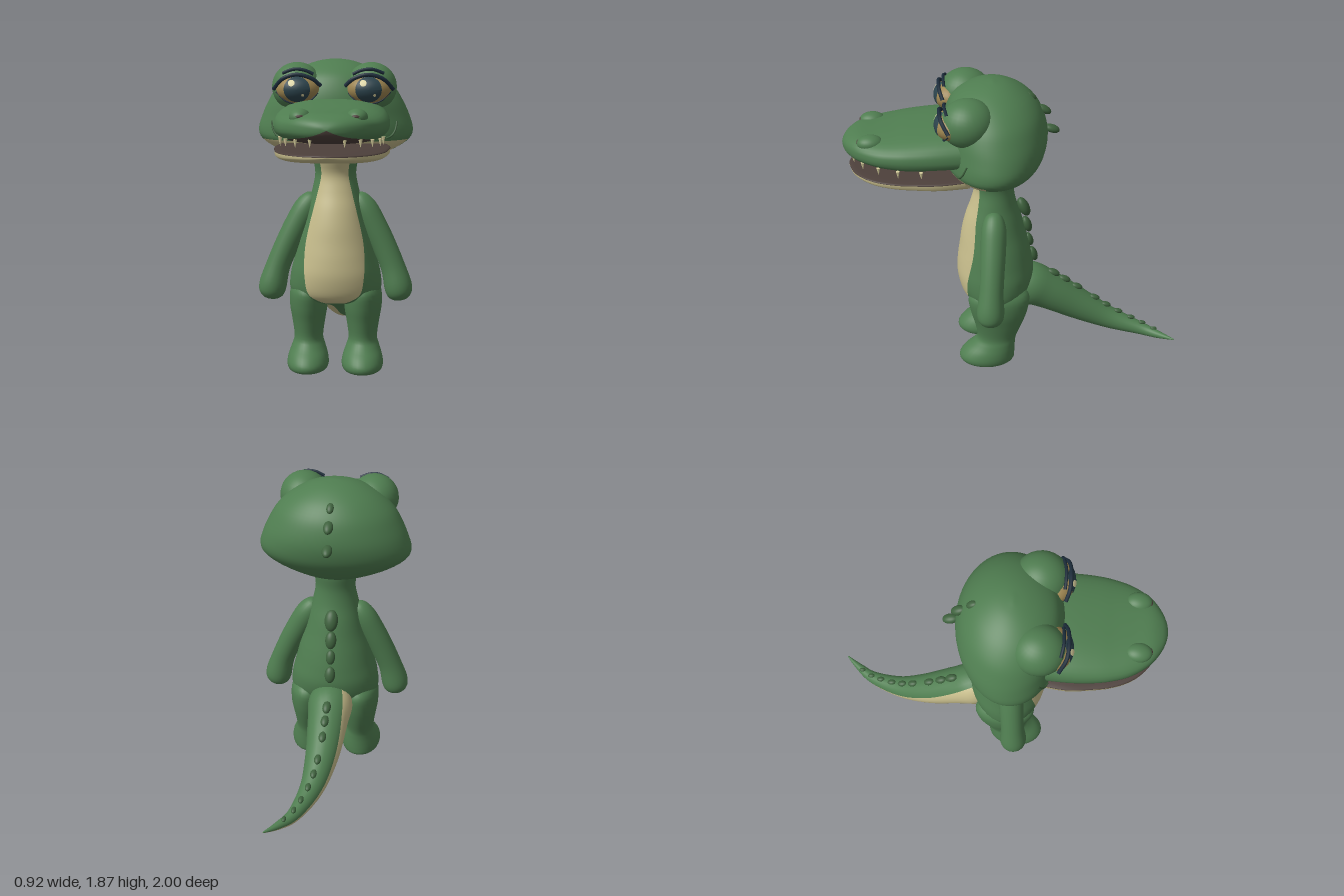
import * as THREE from 'three';

const mat = (name, color) => Object.assign(new THREE.MeshStandardMaterial({ color }), { name });

// Catmull-Rom subdivision of rows of numbers; every k-th result is an input row
function refine(rows, k) {
  const out = [], at = i => rows[Math.min(rows.length - 1, Math.max(0, i))];
  for (let i = 0; i < rows.length - 1; i++) {
    for (let s = 0; s < k; s++) {
      const t = s / k;
      out.push(at(i).map((b, q) => {
        const a = at(i - 1)[q], c = at(i + 1)[q], d = at(i + 2)[q];
        return 0.5 * (2 * b + (c - a) * t + (2 * a - 5 * b + 4 * c - d) * t * t + (3 * b - a - 3 * c + d) * t * t * t);
      }));
    }
  }
  out.push(rows[rows.length - 1]);
  return out;
}

// Skin closed rings with capped ends; pick(row, column) chooses the material index
function loft(name, rings, mats, pick = () => 0) {
  const n = rings[0].length, m = rings.length;
  const pts = rings.flat();
  const mid = r => r.reduce((s, p) => s.add(p), new THREE.Vector3()).divideScalar(n);
  pts.push(mid(rings[0]), mid(rings[m - 1]));
  const tris = mats.map(() => []);
  for (let i = 0; i < m - 1; i++) {
    for (let j = 0; j < n; j++) {
      const a = i * n + j, b = i * n + (j + 1) % n;
      tris[pick(i, j)].push([a, b, a + n], [b, b + n, a + n]);
    }
  }
  for (let j = 0; j < n; j++) {
    const b = (j + 1) % n, e = (m - 1) * n;
    tris[pick(0, j)].push([m * n, b, j]);
    tris[pick(m - 2, j)].push([m * n + 1, e + j, e + b]);
  }
  // turn the faces outward
  const c = mid(rings[m >> 1]);
  const volume = tris.flat().reduce((s, t) => {
    const [p, q, r] = t.map(k => pts[k].clone().sub(c));
    return s + p.dot(q.cross(r));
  }, 0);
  if (volume < 0) tris.flat().forEach(t => t.reverse());
  const geo = new THREE.BufferGeometry().setFromPoints(pts);
  geo.setIndex(tris.flat(2));
  let start = 0;
  tris.forEach((t, k) => { geo.addGroup(start, t.length * 3, k); start += t.length * 3; });
  geo.computeVertexNormals();
  const mesh = new THREE.Mesh(geo, mats);
  mesh.name = name;
  return mesh;
}

// Horizontal oval ring from [y, halfWidth, backZ, frontZ]; angle 0 is the front
const ovalRing = ([y, rx, zb, zf], angles, x0 = 0) => angles.map(a =>
  new THREE.Vector3(x0 + rx * Math.sin(a), y, (zb + zf) / 2 + (zf - zb) / 2 * Math.cos(a)));
const around = n => Array.from({ length: n }, (_, j) => j / n * Math.PI * 2);

// Jaw ring from [z, halfWidth, widestY, topY, bottomY]
const jawRing = ([z, w, ym, yt, yb], e) => around(36).map(a => {
  const c = Math.cos(a), s = Math.sin(a);
  return new THREE.Vector3(w * Math.sign(c) * Math.abs(c) ** e,
    ym + (s > 0 ? yt - ym : yb - ym) * Math.abs(s) ** e, z);
});

// Round limb through rows [x, y, z, radius]; phase(t) twists the columns
function limb(name, rows, ref, mats, pick, phase = () => 0) {
  const pos = rows.map(r => new THREE.Vector3(...r)), last = rows.length - 1;
  return loft(name, rows.map((r, i) => {
    const t = pos[Math.min(last, i + 1)].clone().sub(pos[Math.max(0, i - 1)]).normalize();
    const s = t.clone().cross(ref).normalize(), u = s.clone().cross(t);
    return around(24).map(a => {
      const p = a + phase(i / last);
      return pos[i].clone().addScaledVector(s, r[3] * Math.cos(p)).addScaledVector(u, r[3] * Math.sin(p));
    });
  }), mats, pick);
}

export function createModel() {
  const model = new THREE.Group();
  model.name = 'standingCrocodile';
  const green = mat('skin green', 0x4f7d50), cream = mat('belly cream', 0xc6bc8b);
  const dark = mat('scute green', 0x3e613d), mouth = mat('mouth brown', 0x4d403b);
  const tooth = mat('tooth ivory', 0xdcd3a0), gold = mat('eye gold', 0x9c8450);
  const iris = mat('iris teal', 0x2b424b), lash = mat('lash navy', 0x1c2c3a);
  const add = o => (model.add(o), o);

  const ball = (name, m, p, r, rotX = 0) => {
    const o = add(new THREE.Mesh(new THREE.SphereGeometry(1, 28, 20), m));
    o.name = name;
    o.position.set(...p);
    o.scale.set(...r);
    o.rotation.x = rotX;
  };
  const tube = (name, m, pts, r) => {
    const curve = new THREE.CatmullRomCurve3(pts.map(p => new THREE.Vector3(...p)));
    add(new THREE.Mesh(new THREE.TubeGeometry(curve, 24, r, 8), m)).name = name;
  };

  // Torso and neck; the front columns follow the belly edge (last value of each row)
  const torso = refine([
    [0.42, 0.12, 0.03, 0.25, 0.02], [0.45, 0.23, -0.04, 0.31, 0.09], [0.5, 0.275, -0.085, 0.345, 0.155],
    [0.6, 0.27, -0.11, 0.365, 0.175], [0.7, 0.245, -0.1, 0.36, 0.178], [0.8, 0.22, -0.08, 0.345, 0.17],
    [0.9, 0.19, -0.055, 0.33, 0.15], [1.0, 0.165, -0.03, 0.305, 0.125], [1.1, 0.14, 0, 0.27, 0.1],
    [1.2, 0.122, 0.012, 0.25, 0.08], [1.3, 0.135, 0, 0.285, 0.09], [1.36, 0.13, 0.02, 0.27, 0.09]], 5);
  add(loft('torso', torso.map(r => {
    const a = Math.asin(Math.min(0.95, r[4] / r[1]));
    return ovalRing(r, Array.from({ length: 44 }, (_, j) =>
      j < 14 ? -a + 2 * a * j / 14 : a + (2 * Math.PI - 2 * a) * (j - 14) / 30));
  }), [green, cream], (i, j) => (j < 14 && i >= 3 ? 1 : 0)));

  // Head with a cream underside at the front
  const headRows = refine([
    [1.262, 0.07, 0.06, 0.2], [1.3, 0.21, -0.03, 0.29], [1.35, 0.345, -0.09, 0.37], [1.41, 0.435, -0.14, 0.415],
    [1.47, 0.455, -0.17, 0.42], [1.55, 0.432, -0.185, 0.42], [1.63, 0.395, -0.175, 0.42], [1.71, 0.345, -0.145, 0.4],
    [1.78, 0.27, -0.09, 0.36], [1.83, 0.185, -0.02, 0.29], [1.86, 0.1, 0.05, 0.21], [1.872, 0.02, 0.12, 0.14]], 4);
  add(loft('head', headRows.map(r => ovalRing(r, around(60))), [green, cream],
    (i, j) => (i < 12 && (j < 13 || j > 46) ? 1 : 0)));
  const headZ = (x, y) => {
    const [, rx, zb, zf] = headRows.reduce((a, b) => (Math.abs(b[0] - y) < Math.abs(a[0] - y) ? b : a));
    return (zb + zf) / 2 + (zf - zb) / 2 * Math.sqrt(Math.max(0, 1 - (x / rx) ** 2));
  };

  // Upper and lower jaws, lined with mouth colour where they face each other
  const snout = refine([[0.25, 0.31, 1.52, 1.66, 1.425], [0.45, 0.322, 1.52, 1.65, 1.425], [0.6, 0.315, 1.52, 1.635, 1.42],
    [0.7, 0.298, 1.52, 1.622, 1.427], [0.8, 0.265, 1.52, 1.612, 1.44], [0.9, 0.2, 1.525, 1.603, 1.455],
    [0.96, 0.125, 1.525, 1.58, 1.472], [0.99, 0.06, 1.525, 1.553, 1.495], [1.0, 0.01, 1.525, 1.53, 1.52]], 4);
  add(loft('upperJaw', snout.map(r => jawRing(r, 0.8)), [green, mouth], (i, j) => (j > 21 && j < 32 ? 1 : 0)));
  const chin = refine([[0.28, 0.3, 1.385, 1.4, 1.31], [0.45, 0.325, 1.385, 1.4, 1.315], [0.6, 0.312, 1.383, 1.396, 1.322],
    [0.7, 0.295, 1.383, 1.395, 1.327], [0.8, 0.258, 1.383, 1.395, 1.335], [0.88, 0.2, 1.383, 1.395, 1.347],
    [0.94, 0.12, 1.383, 1.395, 1.36], [0.97, 0.02, 1.383, 1.39, 1.378]], 4);
  add(loft('lowerJaw', chin.map(r => jawRing(r, 0.6)), [cream, mouth], (i, j) => (j < 18 ? 1 : 0)));

  // Tail, its cream strip twisting from the side to underneath
  const tail = refine([[0, 0.5, 0.04, 0.1], [0, 0.47, -0.08, 0.138], [0, 0.41, -0.2, 0.125], [0.005, 0.29, -0.4, 0.102],
    [0.035, 0.19, -0.6, 0.072], [0.105, 0.142, -0.8, 0.042], [0.18, 0.138, -0.91, 0.024], [0.25, 0.148, -0.995, 0.004]], 5);
  add(limb('tail', tail, new THREE.Vector3(0, 1, 0), [green, cream], (i, j) => (j < 8 ? 1 : 0),
    t => (110 + 100 * t) * Math.PI / 180));

  // Scutes down the head, back and tail: [y, z, size, tilt]
  const scute = (x, y, z, s, tilt) => ball('scute', dark, [x, y, z], [s * 0.62, s * 0.5, s], tilt);
  [[1.772, -0.09, 0.036, 2.5], [1.685, -0.165, 0.046, 2.6], [1.56, -0.212, 0.048, 2.8],
    [1.035, -0.05, 0.066, 2.0], [0.91, -0.07, 0.055, 1.9], [0.8, -0.085, 0.046, 1.9], [0.69, -0.11, 0.052, 1.9]]
    .forEach(([y, z, s, a]) => scute(0, y, z, s, a));
  for (let k = 0; k < 9; k++) {
    const [x, y, z, r] = tail[10 + Math.round(k * 2.2)];
    scute(x, y + r * 1.02, z - r * 0.35, 0.042 - k * 0.0026, 2.65 + k * 0.045);
  }

  for (const s of [1, -1]) {
    const side = s > 0 ? 'left' : 'right';

    // Limbs
    add(limb(side + 'Arm', refine([[0.12, 1.078, 0.14, 0.01], [0.135, 1.055, 0.14, 0.05], [0.175, 0.99, 0.142, 0.074],
      [0.235, 0.88, 0.15, 0.076], [0.295, 0.76, 0.16, 0.073], [0.345, 0.64, 0.17, 0.073], [0.376, 0.53, 0.178, 0.083],
      [0.384, 0.475, 0.178, 0.074], [0.388, 0.445, 0.178, 0.045], [0.389, 0.436, 0.178, 0.005]], 4)
      .map(([x, ...r]) => [x * s, ...r]), new THREE.Vector3(0, 0, 1), [green]));
    add(loft(side + 'Leg', refine([[0.005, 0.095, 0.05, 0.31], [0.02, 0.118, 0.025, 0.36], [0.055, 0.126, 0.02, 0.37],
      [0.1, 0.118, 0.018, 0.34], [0.15, 0.1, 0.015, 0.285], [0.2, 0.087, 0.005, 0.255], [0.3, 0.1, -0.035, 0.27],
      [0.4, 0.115, -0.065, 0.295], [0.5, 0.108, -0.07, 0.3], [0.56, 0.06, 0, 0.22]], 4)
      .map(r => ovalRing(r, around(32), 0.165 * s)), [green]));

    // Brow bump and eyeball
    ball(side + 'EyeBump', green, [0.212 * s, 1.715, 0.28], [0.146, 0.14, 0.155]);
    ball(side + 'Eyeball', gold, [0.2 * s, 1.705, 0.37], [0.125, 0.082, 0.095]);
    const eyeZ = (x, y) => 0.37 + 0.095 * Math.sqrt(Math.max(0, 1 - ((x - 0.2 * s) / 0.125) ** 2 - ((y - 1.705) / 0.082) ** 2));
    const spot = (name, m, cx, cy, rx, ry, off) => {
      const g = new THREE.RingGeometry(0, 1, 28, 7), p = g.attributes.position;
      for (let i = 0; i < p.count; i++) {
        const x = cx + p.getX(i) * rx, y = cy + p.getY(i) * ry;
        p.setXYZ(i, x, y, eyeZ(x, y) + off);
      }
      g.computeVertexNormals();
      add(new THREE.Mesh(g, m)).name = name;
    };
    spot('iris', iris, 0.2 * s, 1.706, 0.074, 0.072, 0.004);
    spot('eyeGlint', tooth, 0.2 * s - 0.03, 1.742, 0.019, 0.018, 0.009);
    spot('smallEyeGlint', tooth, 0.2 * s + 0.034, 1.675, 0.008, 0.008, 0.009);

    // Lashes, brow line and lower lid
    const mirror = pts => pts.map(([x, y, z]) => [x * s, y, z]);
    tube('upperLash', lash, mirror([[0.068, 1.725, 0.415], [0.115, 1.765, 0.432], [0.2, 1.788, 0.437],
      [0.28, 1.765, 0.428], [0.338, 1.705, 0.39]]), 0.011);
    tube('browLine', lash, mirror([[0.11, 1.79, 0.405], [0.16, 1.812, 0.408], [0.22, 1.817, 0.407], [0.285, 1.795, 0.395]]), 0.009);
    tube('lowerLid', lash, mirror([[0.085, 1.685, 0.4], [0.13, 1.642, 0.42], [0.2, 1.624, 0.42],
      [0.27, 1.642, 0.415], [0.322, 1.69, 0.39]]), 0.004);

    // Nostril, smile crease and teeth
    ball('nostrilBump', green, [0.15 * s, 1.582, 0.83], [0.057, 0.045, 0.075]);
    ball('nostril', mouth, [0.146 * s, 1.588, 0.896], [0.022, 0.011, 0.01]);
    tube('smileCrease', dark, [[0.3, 1.425], [0.33, 1.44], [0.35, 1.47], [0.36, 1.52]]
      .map(([x, y]) => [x * s, y, headZ(x, y) + 0.002]), 0.006);
    [[0.285, 0.55], [0.27, 0.68], [0.23, 0.79], [0.17, 0.88], [0.09, 0.935]].forEach(([x, z], k) => {
      const t = add(new THREE.Mesh(new THREE.ConeGeometry(0.011, 0.045, 8), tooth));
      t.name = 'tooth';
      t.position.set(x * s, 1.432 + k * 0.005, z);
      t.rotation.x = Math.PI;
    });
  }
  return model;
}
